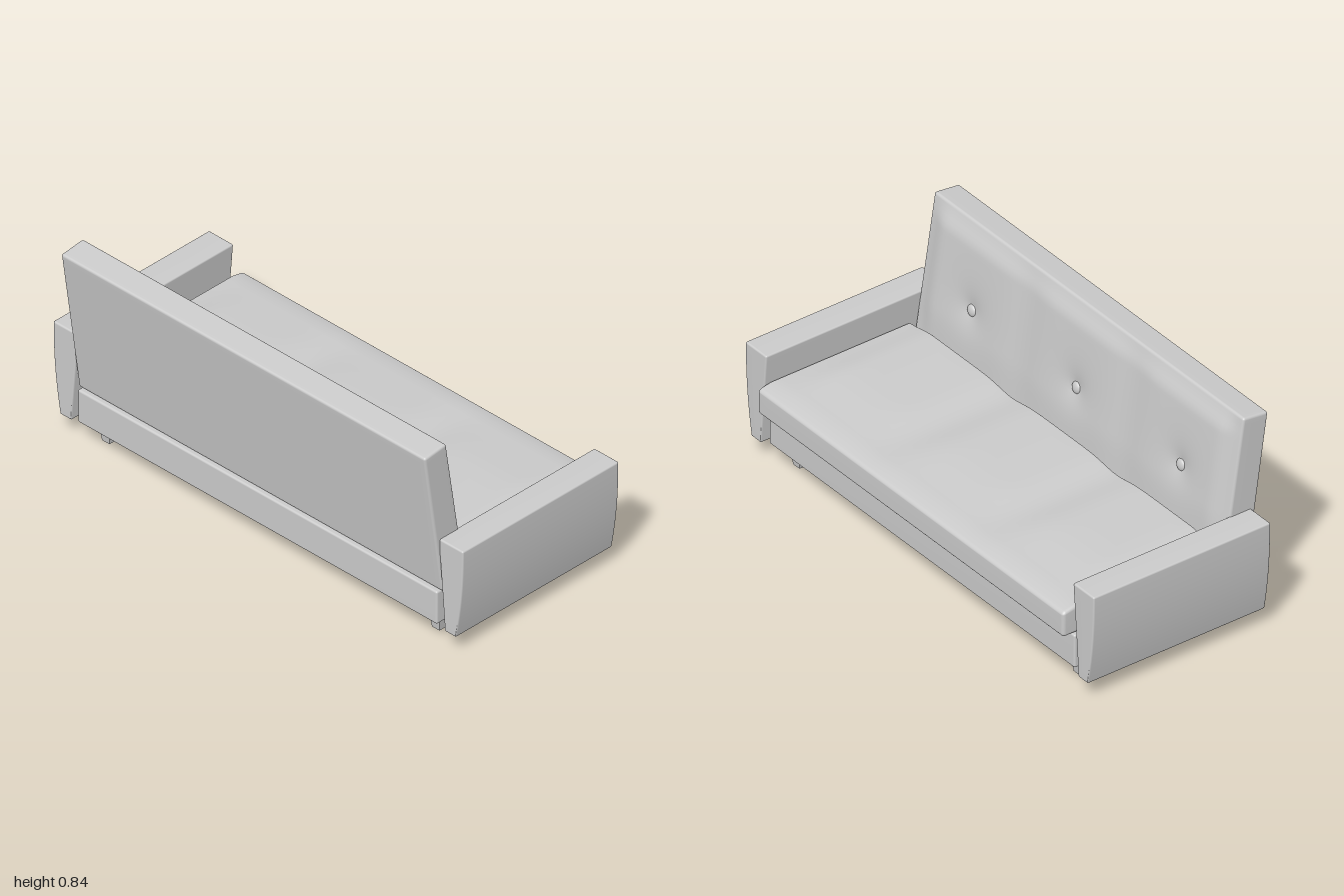
import * as THREE from 'three';
import { mergeVertices } from 'three/addons/utils/BufferGeometryUtils.js';

const material = new THREE.MeshStandardMaterial({ color: 0xcccccc });
const smooth = THREE.MathUtils.smoothstep;
const lerp = THREE.MathUtils.lerp;

// Subdivided box with rounded edges between two corners; rule(point, fraction) may then bend it.
function softBox(name, min, max, r, segs, rule) {
  const k = 3; // segments spent on each rounded edge
  const lo = new THREE.Vector3(...min);
  const hi = new THREE.Vector3(...max);
  const n = segs.map((s) => s + 2 * k);
  let geo = new THREE.BoxGeometry(1, 1, 1, ...n);
  geo.deleteAttribute('uv');
  geo.deleteAttribute('normal');
  const pos = geo.attributes.position;
  const p = new THREE.Vector3();
  const f = new THREE.Vector3();
  const inner = new THREE.Vector3();
  const coreLo = lo.clone().addScalar(r);
  const coreHi = hi.clone().addScalar(-r);
  for (let i = 0; i < pos.count; i++) {
    p.fromBufferAttribute(pos, i);
    ['x', 'y', 'z'].forEach((a, j) => {
      const t = Math.round((p[a] + 0.5) * n[j]);
      if (t < k) p[a] = lo[a] + (r * t) / k;
      else if (t > n[j] - k) p[a] = hi[a] - (r * (n[j] - t)) / k;
      else p[a] = lerp(coreLo[a], coreHi[a], (t - k) / segs[j]);
    });
    inner.copy(p).clamp(coreLo, coreHi);
    p.sub(inner).normalize().multiplyScalar(r).add(inner);
    if (rule) {
      f.copy(p).sub(lo).divide(hi.clone().sub(lo));
      rule(p, f);
    }
    pos.setXYZ(i, p.x, p.y, p.z);
  }
  geo = mergeVertices(geo, 1e-5);
  geo.computeVertexNormals();
  const mesh = new THREE.Mesh(geo, material);
  mesh.name = name;
  return mesh;
}

// Dip along the two lines between the three seat places
const seam = (z) => Math.exp(-(((Math.abs(z) - 0.3) / 0.09) ** 2));
const buttonZ = [-0.6, 0, 0.6];
const buttonY = 0.515;

export function createModel() {
  const sofa = new THREE.Group();
  sofa.name = 'sofa';

  sofa.add(softBox('base', [-0.372, 0.085, -0.877], [0.395, 0.222, 0.877], 0.008, [1, 1, 1]));

  // Seat cushion with three gently crowned places
  sofa.add(softBox('seatCushion', [-0.228, 0.224, -0.868], [0.438, 0.338, 0.886], 0.014, [16, 2, 60], (p, f) => {
    const across = smooth(f.z, 0, 0.08) * smooth(1 - f.z, 0, 0.08);
    const along = smooth(1 - f.x, 0, 0.5);
    p.y += 0.018 * smooth(f.y, 0.5, 1) * across * along * (1 - 0.9 * seam(p.z));
    p.y -= 0.012 * smooth(f.y, 0.6, 1) * smooth(f.x, 0.94, 1);
  }));

  // Leaning backrest, padded at the front and pulled in at the buttons
  sofa.add(softBox('backrest', [0, 0.22, -0.888], [0.11, 0.832, 0.888], 0.01, [3, 36, 90], (p, f) => {
    const back = lerp(-0.354, -0.443, f.y);
    const front = lerp(-0.238, -0.335, f.y);
    const edge = smooth(1 - f.y, 0, 0.14) * smooth(f.z, 0, 0.06) * smooth(1 - f.z, 0, 0.06);
    let pull = 0;
    for (const z of buttonZ) pull += 0.026 * Math.exp(-Math.hypot(p.z - z, p.y - buttonY) / 0.06);
    const puff = edge * (0.023 - 0.009 * seam(p.z) - pull) * (1 - 0.5 * smooth(0.45 - p.y, 0, 0.2));
    p.y += (f.x - 0.5) * 0.013 * f.y;
    p.x = lerp(back, front, f.x) + puff * smooth(f.x, 0.6, 1);
  }));

  // Buttons
  for (const z of buttonZ) {
    const button = new THREE.Mesh(new THREE.SphereGeometry(0.023, 20, 12), material);
    button.name = 'button';
    button.scale.x = 0.5;
    button.rotation.z = 0.16;
    button.position.set(-0.281, buttonY, z);
    sofa.add(button);
  }

  // Arms, narrowing towards the bottom
  for (const side of [1, -1]) {
    const zs = side > 0 ? [0.88, 1] : [-1, -0.88];
    sofa.add(softBox(side > 0 ? 'rightArm' : 'leftArm', [-0.368, 0.072, zs[0]], [0.405, 0.45, zs[1]], 0.007, [1, 12, 2], (p, f) => {
      const t = 1 - f.y;
      const w = side > 0 ? f.z : 1 - f.z;
      p.z = side * lerp(0.88 + 0.032 * t, 1 - 0.036 * t ** 2.2, w);
    }));
  }

  // Square tapered legs
  for (const x of [-0.286, 0.312]) {
    for (const z of [-0.805, 0.805]) {
      const geo = new THREE.CylinderGeometry(0.03 * Math.SQRT2, 0.018 * Math.SQRT2, 0.09, 4, 1).rotateY(Math.PI / 4).toNonIndexed();
      geo.computeVertexNormals();
      const leg = new THREE.Mesh(geo, material);
      leg.name = 'leg';
      leg.position.set(x, 0.045, z);
      sofa.add(leg);
    }
  }
  return sofa;
}
